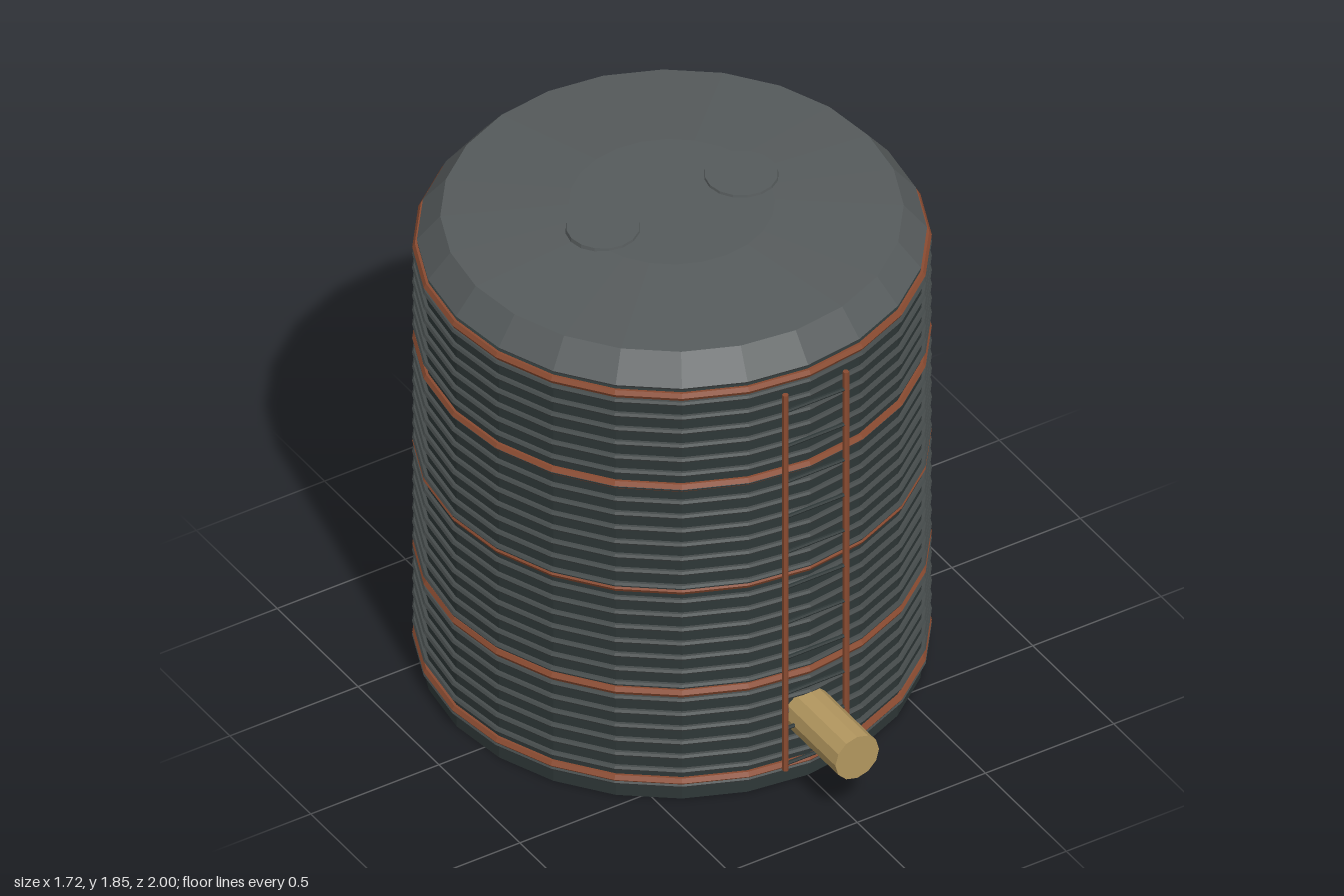
import * as THREE from 'three';

const SIDES = 24, AXIS_Z = -0.145;

function paint(name, color) {
  const m = new THREE.MeshStandardMaterial({ color, flatShading: true });
  m.name = name;
  return m;
}

export function createModel() {
  const wallGrey = paint('dark wall grey', 0x2e3737);
  const ribGrey = paint('rib grey', 0x464c4c);
  const roofGrey = paint('roof grey', 0x565b5c);
  const rust = paint('rust', 0x8a4b31);
  const brass = paint('brass', 0xb3975f);

  const model = new THREE.Group();
  model.name = 'waterTank';
  const tank = new THREE.Group();
  tank.name = 'tank';
  tank.position.z = AXIS_Z;
  model.add(tank);

  function add(parent, name, geometry, material, x = 0, y = 0, z = 0) {
    const mesh = new THREE.Mesh(geometry, material);
    mesh.name = name;
    mesh.position.set(x, y, z);
    parent.add(mesh);
    return mesh;
  }

  // Cylindrical wall with closed base
  add(tank, 'wall', new THREE.CylinderGeometry(0.84, 0.84, 1.69, SIDES), wallGrey, 0, 0.845);

  // Stepped roof: lip, steep bevel, shallow cone and flat centre
  const roofProfile = [[0.82, 1.68], [0.842, 1.705], [0.765, 1.8], [0.34, 1.837], [0, 1.837]]
    .map(([r, y]) => new THREE.Vector2(r, y));
  add(tank, 'roof', new THREE.LatheGeometry(roofProfile, SIDES), roofGrey);

  // Horizontal corrugations
  const ribGeo = new THREE.TorusGeometry(0.848, 0.01, 6, SIDES).rotateX(Math.PI / 2);
  for (let i = 0; i < 28; i++) add(tank, 'rib', ribGeo, ribGrey, 0, 0.063 + i * 0.0587);

  // Rusty hoops
  const hoopGeo = new THREE.TorusGeometry(0.8405, 0.017, 6, SIDES).rotateX(Math.PI / 2);
  for (const y of [0.075, 0.442, 0.87, 1.297, 1.675]) add(tank, 'hoop', hoopGeo, rust, 0, y);

  // Pair of roof hatches
  const hatchGeo = new THREE.CylinderGeometry(0.122, 0.128, 0.03, 16);
  for (const side of [-1, 1]) add(tank, 'hatch', hatchGeo, roofGrey, side * 0.27, 1.831);

  // Outlet pipe
  const pipeGeo = new THREE.CylinderGeometry(0.085, 0.085, 0.4, 12).rotateX(Math.PI / 2);
  add(model, 'outletPipe', pipeGeo, brass, 0, 0.27, 0.8);

  // Ladder rails and rungs
  const ladder = new THREE.Group();
  ladder.name = 'ladder';
  ladder.position.z = 0.743;
  model.add(ladder);
  const railGeo = new THREE.CylinderGeometry(0.011, 0.011, 1.56, 6);
  for (const side of [-1, 1]) add(ladder, 'rail', railGeo, rust, side * 0.118, 0.88);
  const rungGeo = new THREE.CylinderGeometry(0.007, 0.007, 0.245, 6).rotateZ(Math.PI / 2);
  for (let i = 0; i < 11; i++) add(ladder, 'rung', rungGeo, wallGrey, 0, 0.125 + i * 0.1465);

  return model;
}
